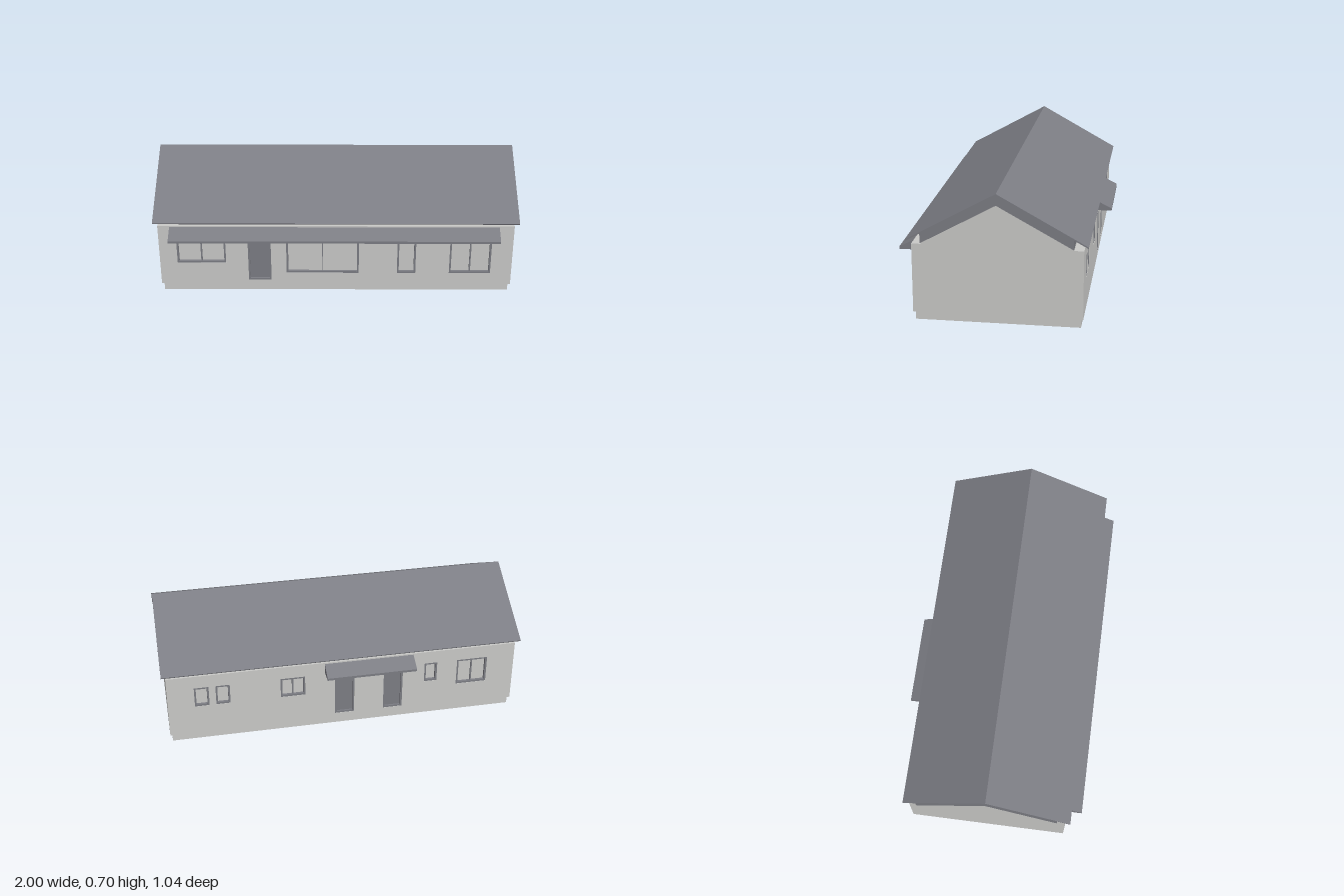
import * as THREE from 'three';

const wallMat = new THREE.MeshStandardMaterial({ name: 'pale render', color: 0xcacac8 });
const darkMat = new THREE.MeshStandardMaterial({ name: 'slate grey', color: 0x7c7d84 });

const WALL_X = 0.977, WALL_Z = 0.437, CORE_Z = 0.42;
const WALL_BOTTOM = 0.045, WALL_TOP = 0.415;

// Openings per side: [x0, x1, y0, y1, mullion width, is door], x as seen facing that wall
const frontOpenings = [
  [-0.88, -0.61, 0.18, 0.34, 0.008],
  [-0.487, -0.36, 0.07, 0.315, 0, true],
  [-0.275, 0.127, 0.115, 0.34, 0.004],
  [0.34, 0.443, 0.115, 0.34, 0],
  [0.63, 0.86, 0.115, 0.34, 0.008],
];
const backOpenings = [
  [-0.83, -0.75, 0.22, 0.34, 0],
  [-0.713, -0.635, 0.22, 0.34, 0],
  [-0.357, -0.22, 0.22, 0.34, 0.008],
  [-0.052, 0.057, 0.07, 0.315, 0, true],
  [0.224, 0.333, 0.07, 0.315, 0, true],
  [0.457, 0.53, 0.22, 0.34, 0],
  [0.645, 0.82, 0.18, 0.34, 0.008],
];

function mesh(name, geometry, material) {
  const m = new THREE.Mesh(geometry, material);
  m.name = name;
  return m;
}

function box(name, material, x0, x1, y0, y1, z0, z1) {
  const m = mesh(name, new THREE.BoxGeometry(x1 - x0, y1 - y0, z1 - z0), material);
  m.position.set((x0 + x1) / 2, (y0 + y1) / 2, (z0 + z1) / 2);
  return m;
}

function rect(Type, x0, x1, y0, y1) {
  return new Type([[x0, y0], [x1, y0], [x1, y1], [x0, y1]].map(p => new THREE.Vector2(...p)));
}

const extrude = (shape, depth) => new THREE.ExtrudeGeometry(shape, { depth, bevelEnabled: false });

// Sweep a (z, y) outline along x
function sweepX(name, material, outline, x0, x1) {
  const shape = new THREE.Shape(outline.map(([z, y]) => new THREE.Vector2(-z, y)));
  const geometry = extrude(shape, x1 - x0).rotateY(Math.PI / 2).translate(x0, 0, 0);
  return mesh(name, geometry, material);
}

// Complete a half outline, listed from the +z side, by mirroring it in z
function mirrored(half) {
  return [...half, ...half.filter(p => p[0] > 0).reverse().map(([z, y]) => [-z, y])];
}

// Outer wall leaf with recessed windows and doors, facing +z
function facade(name, openings) {
  const group = new THREE.Group();
  group.name = name;
  const leaf = rect(THREE.Shape, -WALL_X, WALL_X, WALL_BOTTOM, WALL_TOP);
  for (const [x0, x1, y0, y1, mullion, door] of openings) {
    leaf.holes.push(rect(THREE.Path, x0, x1, y0, y1));
    const w = 0.01;
    const ring = rect(THREE.Shape, x0, x1, y0, y1);
    ring.holes.push(rect(THREE.Path, x0 + w, x1 - w, y0 + w, y1 - w));
    const frame = mesh(door ? 'doorFrame' : 'windowFrame', extrude(ring, 0.015), darkMat);
    frame.position.z = CORE_Z;
    group.add(frame);
    if (door) {
      group.add(box('door', darkMat, x0 + w, x1 - w, y0 + w, y1 - w, CORE_Z, CORE_Z + 0.005));
    }
    if (mullion) {
      const c = (x0 + x1) / 2;
      group.add(box('mullion', darkMat, c - mullion / 2, c + mullion / 2,
        y0 + w, y1 - w, CORE_Z, CORE_Z + 0.008));
    }
  }
  const wall = mesh('outerWall', extrude(leaf, WALL_Z - CORE_Z), wallMat);
  wall.position.z = CORE_Z;
  group.add(wall);
  return group;
}

// Wedge canopy, side is +1 for front and -1 for back
function canopy(name, x0, x1, side) {
  const outline = [[0.43, 0.353], [0.52, 0.353], [0.52, 0.366], [0.437, 0.408], [0.43, 0.408]];
  const points = outline.map(([z, y]) => [z * side, y]);
  return sweepX(name, darkMat, points, x0, x1);
}

export function createModel() {
  const house = new THREE.Group();
  house.name = 'house';

  house.add(box('plinth', wallMat, -0.965, 0.965, 0, WALL_BOTTOM, -0.426, 0.426));

  // Inner body with gables
  house.add(sweepX('gableBody', wallMat, mirrored([
    [0, 0.64], [0.388, 0.426], [0.388, WALL_TOP], [CORE_Z, WALL_TOP], [CORE_Z, WALL_BOTTOM],
  ]), -WALL_X, WALL_X));

  const front = facade('frontWall', frontOpenings);
  const back = facade('backWall', backOpenings);
  back.rotation.y = Math.PI;
  house.add(front, back);

  // Thick roof whose covering runs on as a thin eave
  house.add(sweepX('roof', darkMat, mirrored([
    [0, 0.64], [0.388, 0.426], [0.388, 0.477], [0.459, 0.438], [0.462, 0.444], [0, 0.70],
  ]), -1, 1));

  house.add(canopy('frontCanopy', -0.912, 0.895, 1));
  house.add(canopy('backCanopy', -0.39, 0.11, -1));
  return house;
}
